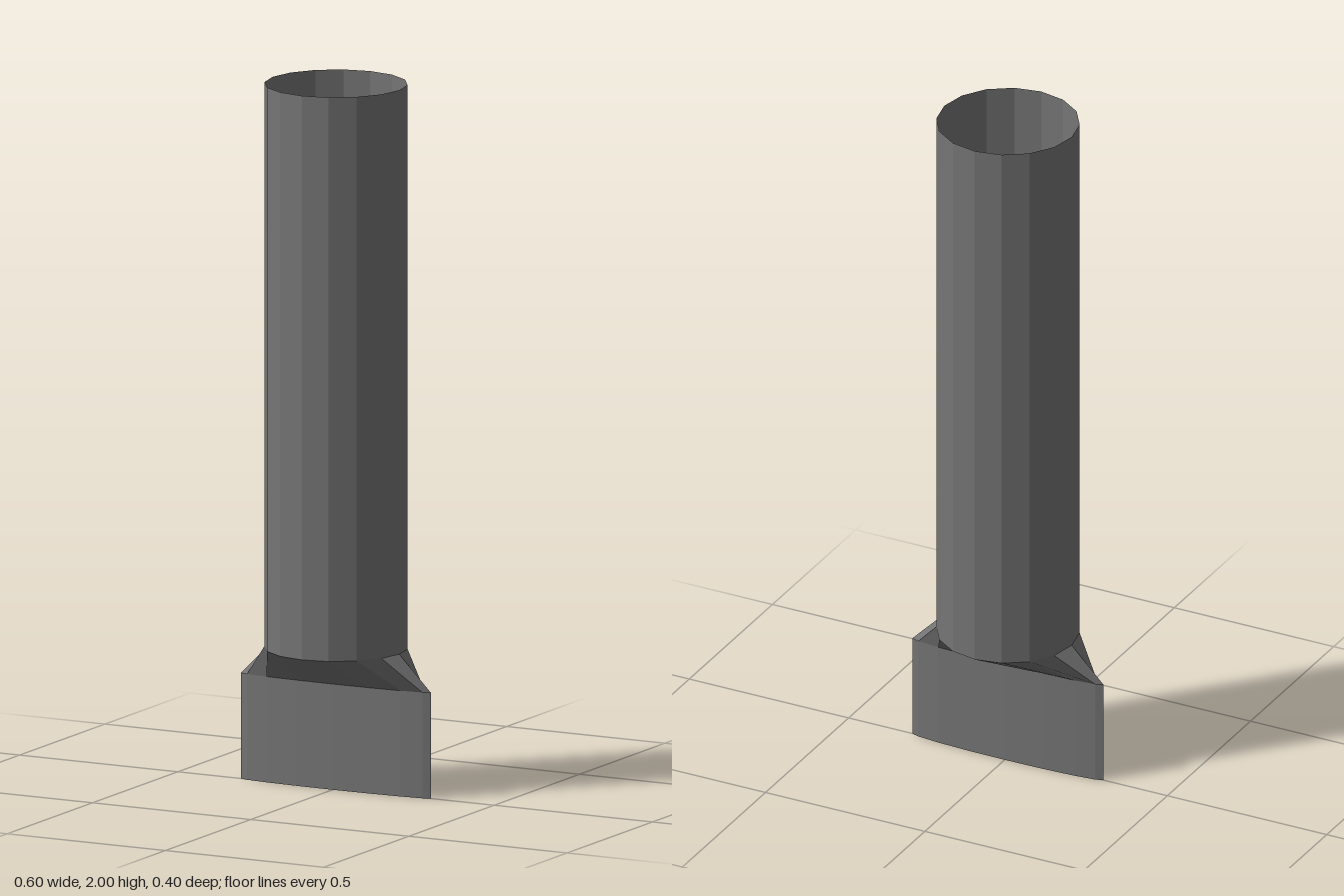
import * as THREE from 'three';

const SIDES = 16;
const PIPE_R = 0.2;
const SLOT_X = 0.3;
const SLOT_Z = 0.02;
const TOP_Y = 2;
const PIPE_Y = 0.4;
const SLOT_Y = 0.3;

// One flat normal per four-sided panel, even where the panel is twisted.
function shadePanels(geometry) {
  const { position, normal } = geometry.attributes;
  const corner = (i) => new THREE.Vector3().fromBufferAttribute(position, i);
  for (let i = 0; i < position.count; i += 6) {
    // Corners run a, b, d, c, d, b; the normal is the cross of the diagonals
    const ac = corner(i + 3).sub(corner(i));
    const bd = corner(i + 2).sub(corner(i + 1));
    const n = ac.cross(bd).normalize();
    for (let k = 0; k < 6; k++) normal.setXYZ(i + k, n.x, n.y, n.z);
  }
}

// Faceted shell through [radius, y] points, listed from the bottom up.
// Rings at or below the slot height are flattened into a thin ellipse.
function shell(name, profile, material) {
  const points = profile.map(([r, y]) => new THREE.Vector2(r, y));
  const geometry = new THREE.LatheGeometry(points, SIDES).toNonIndexed();
  const pos = geometry.attributes.position;
  for (let i = 0; i < pos.count; i++) {
    if (pos.getY(i) < SLOT_Y + 0.01) pos.setZ(i, pos.getZ(i) * SLOT_Z / SLOT_X);
  }
  shadePanels(geometry);
  const mesh = new THREE.Mesh(geometry, material);
  mesh.name = name;
  return mesh;
}

export function createModel() {
  const material = new THREE.MeshStandardMaterial({
    color: 0x757575, side: THREE.DoubleSide,
  });
  const model = new THREE.Group();
  model.name = 'flatNozzle';

  // Round pipe, open at the top
  model.add(shell('pipe', [[PIPE_R, PIPE_Y], [PIPE_R, TOP_Y]], material));
  // Transition from the round pipe to the wide, thin slot
  model.add(shell('transition', [[SLOT_X, SLOT_Y], [PIPE_R, PIPE_Y]], material));
  // Thin blade-like mouth
  model.add(shell('mouth', [[SLOT_X, 0], [SLOT_X, SLOT_Y]], material));
  // Closed bottom of the mouth
  model.add(shell('bottomCap', [[0, 0], [SLOT_X, 0]], material));

  return model;
}
